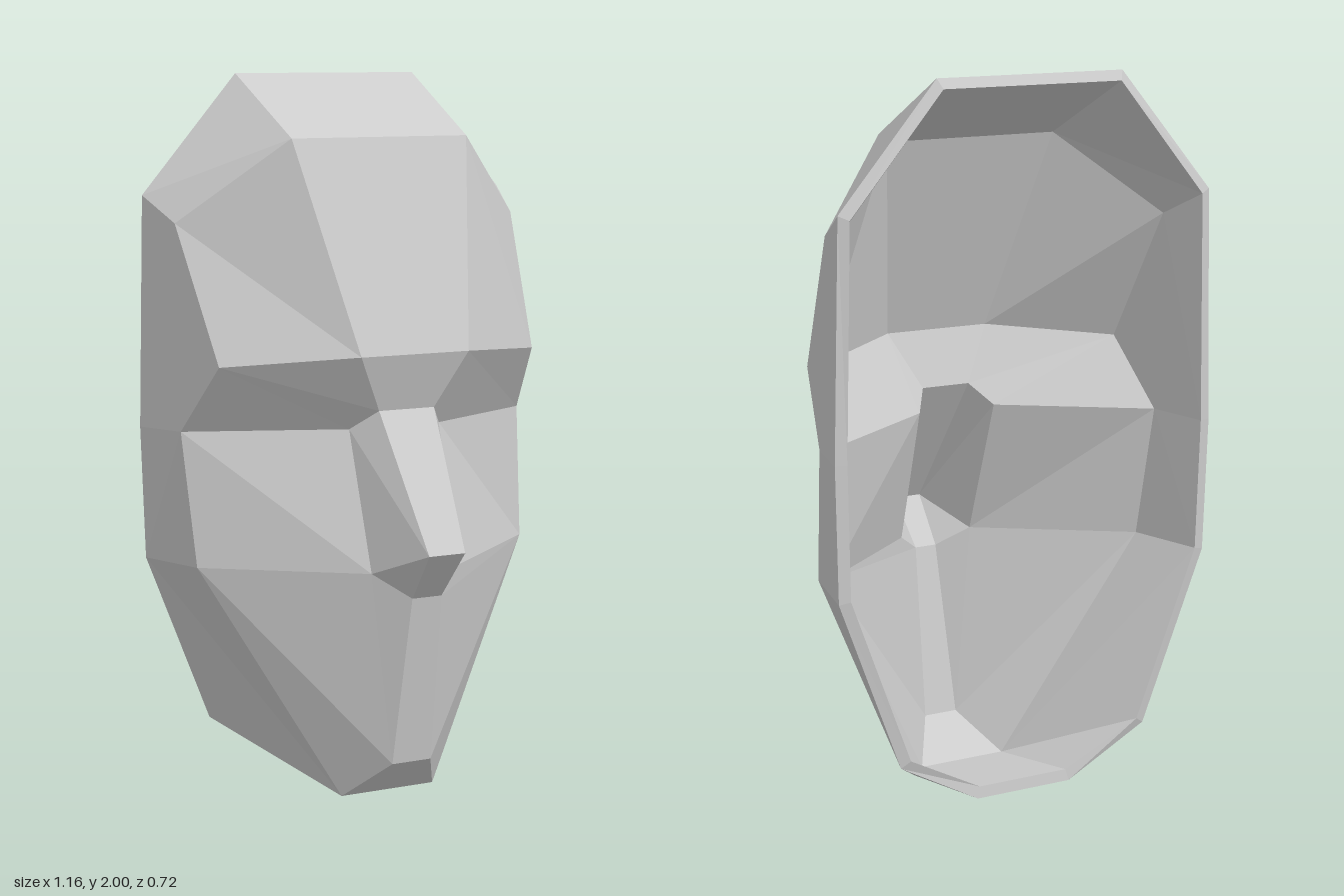
import * as THREE from 'three';

// Corner points of the +x half of the mask: [x, y, z]
const half = {
  rimTop: [0.28, 2.0, -0.34], rimTemple: [0.565, 1.67, -0.34], rimEar: [0.58, 1.03, -0.34],
  rimCheek: [0.57, 0.66, -0.335], rimJaw: [0.385, 0.18, -0.325], rimChin: [0.145, 0.05, -0.32],
  crown: [0.27, 1.83, -0.01], temple: [0.53, 1.6, -0.2],
  brow: [0.165, 1.255, 0.19], browEnd: [0.49, 1.225, -0.01],
  bridge: [0.085, 1.1, 0.14], eyeIn: [0.14, 1.045, 0.07], eyeOut: [0.535, 1.035, -0.165],
  tip: [0.055, 0.735, 0.365], nostril: [0.135, 0.665, 0.19], noseBase: [0.045, 0.6, 0.255],
  cheek: [0.515, 0.665, -0.11], chin: [0.06, 0.12, 0.17], jaw: [0.145, 0.005, 0.03],
};

// Facets of the +x half, counter-clockwise from outside
const sideFacets = [
  'rimTop crown temple rimTemple', 'crown brow browEnd temple',
  'rimTemple temple browEnd rimEar', 'browEnd eyeOut rimEar', 'rimEar eyeOut cheek rimCheek',
  'brow bridge eyeIn eyeOut browEnd', 'bridge tip nostril eyeIn', 'eyeIn nostril cheek eyeOut',
  'tip noseBase nostril', 'noseBase chin cheek nostril', 'cheek chin jaw',
  'cheek jaw rimJaw rimCheek', 'jaw rimChin rimJaw',
].map((s) => s.split(' '));

// Points bordering the centre strip, and the open back edge
const centre = ['rimTop', 'crown', 'brow', 'bridge', 'tip', 'noseBase', 'chin', 'jaw', 'rimChin'];
const edge = ['rimTop', 'rimTemple', 'rimEar', 'rimCheek', 'rimJaw', 'rimChin'];
const THICKNESS = 0.033;
const mirror = (name) => '-' + name;

function facetMesh(name, triangles, material) {
  const geometry = new THREE.BufferGeometry().setFromPoints(triangles.flat());
  geometry.computeVertexNormals();
  const mesh = new THREE.Mesh(geometry, material);
  mesh.name = name;
  return mesh;
}

// Split a polygon into a fan of triangles
const fan = (p) => p.slice(2).map((c, i) => [p[0], p[i + 1], c]);

export function createModel() {
  const material = new THREE.MeshStandardMaterial({ color: 0xcccccc, flatShading: true });

  const outer = {};
  for (const [name, [x, y, z]] of Object.entries(half)) {
    outer[name] = new THREE.Vector3(x, y, z);
    outer[mirror(name)] = new THREE.Vector3(-x, y, z);
  }

  // Both halves plus the quads across the middle
  const facets = [...sideFacets, ...sideFacets.map((f) => f.map(mirror).reverse())];
  for (let i = 0; i < centre.length - 1; i++) {
    const [a, b] = [centre[i], centre[i + 1]];
    facets.push([mirror(a), mirror(b), b, a]);
  }

  // Corner normals weighted by facet angle
  const normals = {};
  for (const name in outer) normals[name] = new THREE.Vector3();
  const triangles = facets.flatMap(fan);
  for (const t of triangles) {
    const p = t.map((n) => outer[n]);
    const normal = new THREE.Triangle(...p).getNormal(new THREE.Vector3());
    t.forEach((n, i) => {
      const u = p[(i + 1) % 3].clone().sub(p[i]);
      const v = p[(i + 2) % 3].clone().sub(p[i]);
      normals[n].addScaledVector(normal, u.angleTo(v));
    });
  }

  // Inner skin, set in by the wall thickness
  const inner = {};
  for (const name in outer) {
    inner[name] = outer[name].clone().addScaledVector(normals[name].normalize(), -THICKNESS);
  }

  // Rim joining both skins around the open back
  const loop = [...edge, ...edge.map(mirror).reverse()];
  const rim = loop.flatMap((a, i) => {
    const b = loop[(i + 1) % loop.length];
    return fan([outer[a], outer[b], inner[b], inner[a]]);
  });

  const mask = new THREE.Group();
  mask.name = 'mask';
  mask.add(
    facetMesh('face', triangles.map((t) => t.map((n) => outer[n])), material),
    facetMesh('lining', triangles.map((t) => t.map((n) => inner[n]).reverse()), material),
    facetMesh('rim', rim, material),
  );
  return mask;
}
